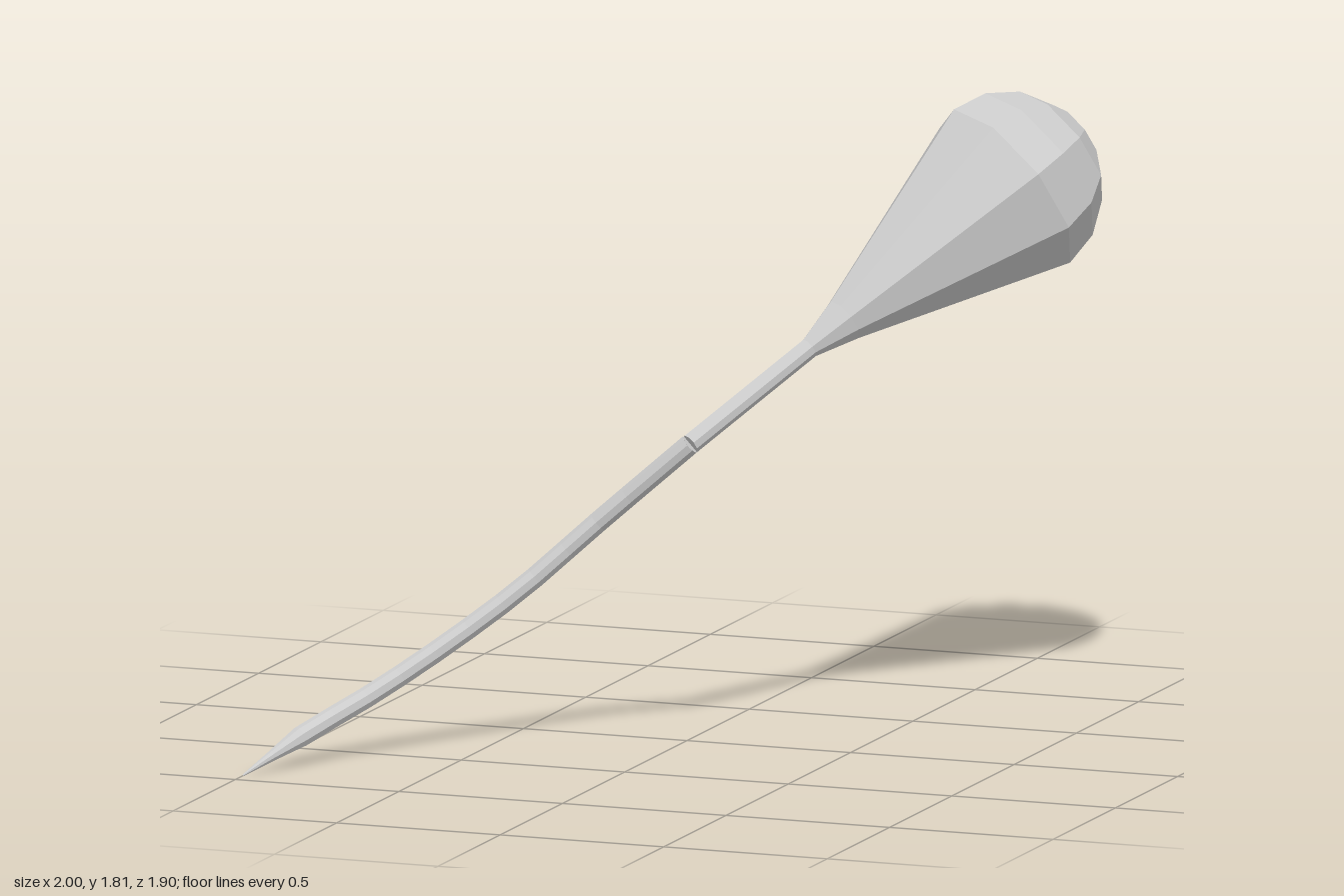
import * as THREE from 'three';

const SIDES = 9;
const material = new THREE.MeshStandardMaterial({ color: 0xcccccc, flatShading: true });
const v = (x, y, z) => new THREE.Vector3(x, y, z);

function part(name, geometry) {
  const mesh = new THREE.Mesh(geometry, material);
  mesh.name = name;
  return mesh;
}

// Straight stem flaring into a cone and closed by a dome, turned around +y
function bulbGeometry(length, radius) {
  const profile = [[0, 0], [0.03, 0], [0.03, 0.465], [0.067, 0.6]];
  const rings = 4;
  for (let i = 0; i <= rings; i++) {
    const a = (i / rings) * Math.PI / 2;
    profile.push([i === rings ? 0 : radius * Math.cos(a), length + radius * Math.sin(a)]);
  }
  const points = profile.map(([r, y]) => new THREE.Vector2(r, y));
  return new THREE.LatheGeometry(points, SIDES, THREE.MathUtils.degToRad(-12));
}

// Curved tube whose last rings shrink to a point
function tailGeometry(curve, radius) {
  const segments = 14;
  const taper = 2;
  const geometry = new THREE.TubeGeometry(curve, segments, radius, SIDES, false);
  const pos = geometry.attributes.position;
  const p = v(0, 0, 0);
  for (let ring = segments - taper; ring <= segments; ring++) {
    const centre = curve.getPointAt(ring / segments);
    const scale = Math.max((segments - ring) / taper, 0.08);
    for (let j = 0; j <= SIDES; j++) {
      const k = ring * (SIDES + 1) + j;
      p.fromBufferAttribute(pos, k).sub(centre).multiplyScalar(scale).add(centre);
      pos.setXYZ(k, p.x, p.y, p.z);
    }
  }
  return geometry;
}

export function createModel() {
  const model = new THREE.Group();
  model.name = 'bulbWithTail';

  const joint = v(0.075, 0.9, 0.17);
  const bulbCentre = v(0.72, 1.535, -0.675);

  // Stem and bulb, aimed from the joint to the bulb centre
  const axis = bulbCentre.clone().sub(joint);
  const length = axis.length();
  axis.normalize();
  const side = v(0, 1, 0).cross(axis).normalize().negate();
  const up = side.clone().cross(axis).normalize();
  if (up.y < 0) { up.negate(); side.negate(); }
  side.crossVectors(axis, up);
  const bulb = part('stemAndBulb', bulbGeometry(length, 0.28));
  bulb.quaternion.setFromRotationMatrix(new THREE.Matrix4().makeBasis(side, axis, up));
  bulb.position.copy(joint);
  model.add(bulb);

  // Curved tail sweeping down to a pointed tip
  const curve = new THREE.CatmullRomCurve3([
    joint, v(-0.2, 0.655, 0.205), v(-0.4, 0.465, 0.29), v(-0.6, 0.3, 0.415),
    v(-0.76, 0.18, 0.55), v(-0.885, 0.095, 0.72), v(-0.997, 0.003, 0.95),
  ]);
  model.add(part('tail', tailGeometry(curve, 0.031)));

  // Cap closing the tail at the joint
  const cap = part('tailCap', new THREE.CircleGeometry(0.031, SIDES));
  cap.position.copy(joint);
  cap.quaternion.setFromUnitVectors(v(0, 0, 1), curve.getTangentAt(0).negate());
  model.add(cap);

  return model;
}
